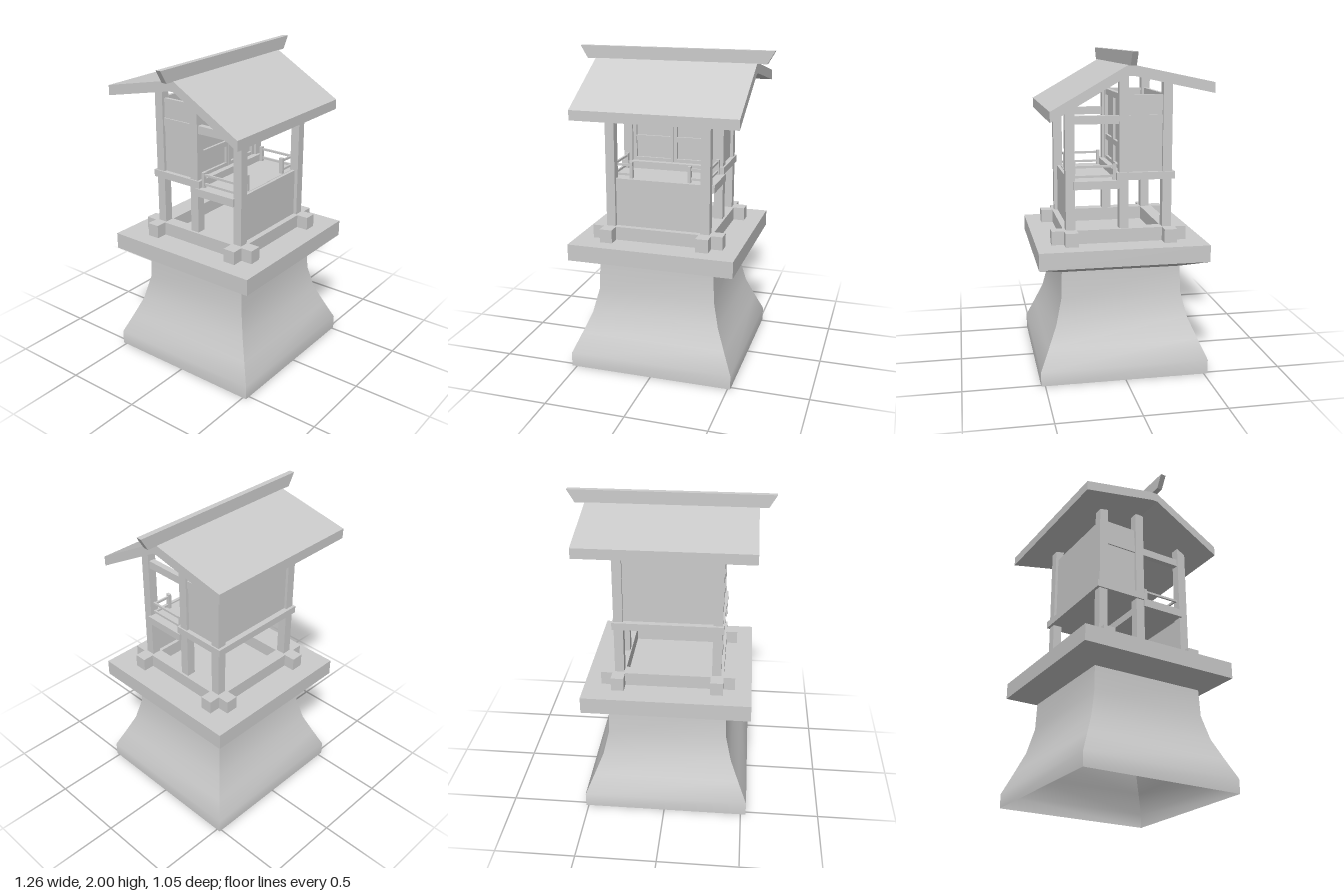
import * as THREE from 'three';

const grey = new THREE.MeshStandardMaterial({ color: 0xcccccc });
const greyDouble = new THREE.MeshStandardMaterial({ color: 0xcccccc, side: THREE.DoubleSide });

function add(parent, name, geometry, material = grey) {
  const mesh = new THREE.Mesh(geometry, material);
  mesh.name = name;
  parent.add(mesh);
  return mesh;
}

// Box given by its lower and upper limits on each axis
function box(parent, name, [x0, x1], [y0, y1], [z0, z1]) {
  const mesh = add(parent, name, new THREE.BoxGeometry(x1 - x0, y1 - y0, z1 - z0));
  mesh.position.set((x0 + x1) / 2, (y0 + y1) / 2, (z0 + z1) / 2);
  return mesh;
}

// The same box on both sides of the centre line
function pair(parent, name, [x0, x1], y, z) {
  box(parent, name, [x0, x1], y, z);
  box(parent, name, [-x1, -x0], y, z);
}

// Four walls of a square shell following a [half width, height] profile
function squareShell(parent, name, profile) {
  const positions = [];
  const index = [];
  for (let side = 0; side < 4; side++) {
    const c = Math.round(Math.cos(side * Math.PI / 2));
    const s = Math.round(Math.sin(side * Math.PI / 2));
    const start = positions.length / 3;
    profile.forEach(([h, y], i) => {
      for (const u of [-h, h]) positions.push(u * c + h * s, y, h * c - u * s);
      if (i > 0) {
        const a = start + 2 * (i - 1);
        index.push(a, a + 1, a + 3, a, a + 3, a + 2);
      }
    });
  }
  const geometry = new THREE.BufferGeometry();
  geometry.setAttribute('position', new THREE.Float32BufferAttribute(positions, 3));
  geometry.setIndex(index);
  geometry.computeVertexNormals();
  return add(parent, name, geometry, greyDouble);
}

// Polygon outline extruded by depth, centred on the extrusion axis
function prism(points, depth) {
  const shape = new THREE.Shape(points.map(([a, b]) => new THREE.Vector2(a, b)));
  return new THREE.ExtrudeGeometry(shape, { depth, bevelEnabled: false }).translate(0, 0, -depth / 2);
}

function createPedestal() {
  const g = new THREE.Group();
  g.name = 'pedestal';
  // Curved body, open underneath
  squareShell(g, 'pedestalBody', [
    [0.525, 0], [0.525, 0.09], [0.47, 0.215], [0.415, 0.345], [0.378, 0.5], [0.372, 0.67],
  ]);
  squareShell(g, 'pedestalFlare', [[0.372, 0.67], [0.525, 0.73]]);
  box(g, 'pedestalSlab', [-0.525, 0.525], [0.73, 0.835], [-0.525, 0.525]);
  return g;
}

function createFrame() {
  const g = new THREE.Group();
  g.name = 'frame';
  // Crossing sill beams
  pair(g, 'sideSill', [0.268, 0.348], [0.835, 0.92], [-0.414, 0.428]);
  for (const z of [0.312, -0.301]) {
    box(g, 'crossSill', [-0.42, 0.42], [0.835, 0.92], [z - 0.04, z + 0.04]);
  }
  // Three rows of posts: [z, top]
  for (const [z, top] of [[0.309, 1.7], [-0.023, 1.88], [-0.294, 1.82]]) {
    pair(g, 'post', [0.275, 0.333], [0.9, top], [z - 0.029, z + 0.029]);
  }
  pair(g, 'sideTieBeam', [0.285, 0.323], [1.565, 1.615], [-0.27, 0.285]);
  box(g, 'frontPanel', [-0.276, 0.276], [0.92, 1.225], [0.295, 0.315]);
  return g;
}

function createPorch() {
  const g = new THREE.Group();
  g.name = 'porch';
  box(g, 'porchFloor', [-0.35, 0.35], [1.172, 1.222], [0, 0.288]);
  // Railing along both sides with short returns at the front
  pair(g, 'railReturnPost', [0.178, 0.197], [1.222, 1.325], [0.257, 0.283]);
  pair(g, 'railEndPost', [0.293, 0.315], [1.222, 1.32], [0.02, 0.042]);
  for (const y of [1.245, 1.305]) {
    pair(g, 'sideRail', [0.298, 0.31], [y - 0.007, y + 0.007], [0.03, 0.285]);
    pair(g, 'frontRail', [0.19, 0.305], [y - 0.007, y + 0.007], [0.264, 0.276]);
  }
  return g;
}

function createSanctuary() {
  const g = new THREE.Group();
  g.name = 'sanctuary';
  box(g, 'sanctuaryFloor', [-0.343, 0.343], [1.222, 1.268], [-0.341, 0.024]);
  pair(g, 'sideWall', [0.292, 0.314], [1.268, 1.738], [-0.27, -0.045]);
  box(g, 'backWall', [-0.28, 0.28], [1.268, 1.738], [-0.305, -0.283]);
  // Double doors: board, stiles and rails
  box(g, 'doorBoard', [-0.28, 0.28], [1.268, 1.738], [-0.045, -0.03]);
  pair(g, 'outerStile', [0.252, 0.276], [1.268, 1.738], [-0.03, -0.012]);
  pair(g, 'innerStile', [0.002, 0.022], [1.268, 1.738], [-0.03, -0.012]);
  for (const [y0, y1] of [[1.268, 1.29], [1.4, 1.435], [1.7, 1.738]]) {
    pair(g, 'doorRail', [0.022, 0.252], [y0, y1], [-0.03, -0.014]);
  }
  return g;
}

function createRoof() {
  const g = new THREE.Group();
  g.name = 'roof';
  // Uneven gable section in [z, y], extruded along x
  const section = [
    [0.448, 1.6], [0.448, 1.663], [-0.005, 1.922], [-0.04, 1.922],
    [-0.525, 1.82], [-0.525, 1.757], [-0.04, 1.86], [-0.005, 1.86],
  ];
  add(g, 'roofSlopes', prism(section, 1.05).rotateY(-Math.PI / 2)).position.x = -0.003;
  // Ridge board flaring towards its ends
  const ridge = [[-0.583, 1.92], [0.583, 1.92], [0.63, 2], [-0.63, 2]];
  add(g, 'ridgeBoard', prism(ridge, 0.035)).position.z = -0.023;
  return g;
}

export function createModel() {
  const model = new THREE.Group();
  model.name = 'miniatureShrine';
  const body = new THREE.Group();
  body.name = 'body';
  body.position.x = -0.008;
  body.add(createPedestal(), createFrame(), createPorch(), createSanctuary());
  model.add(body, createRoof());
  return model;
}
